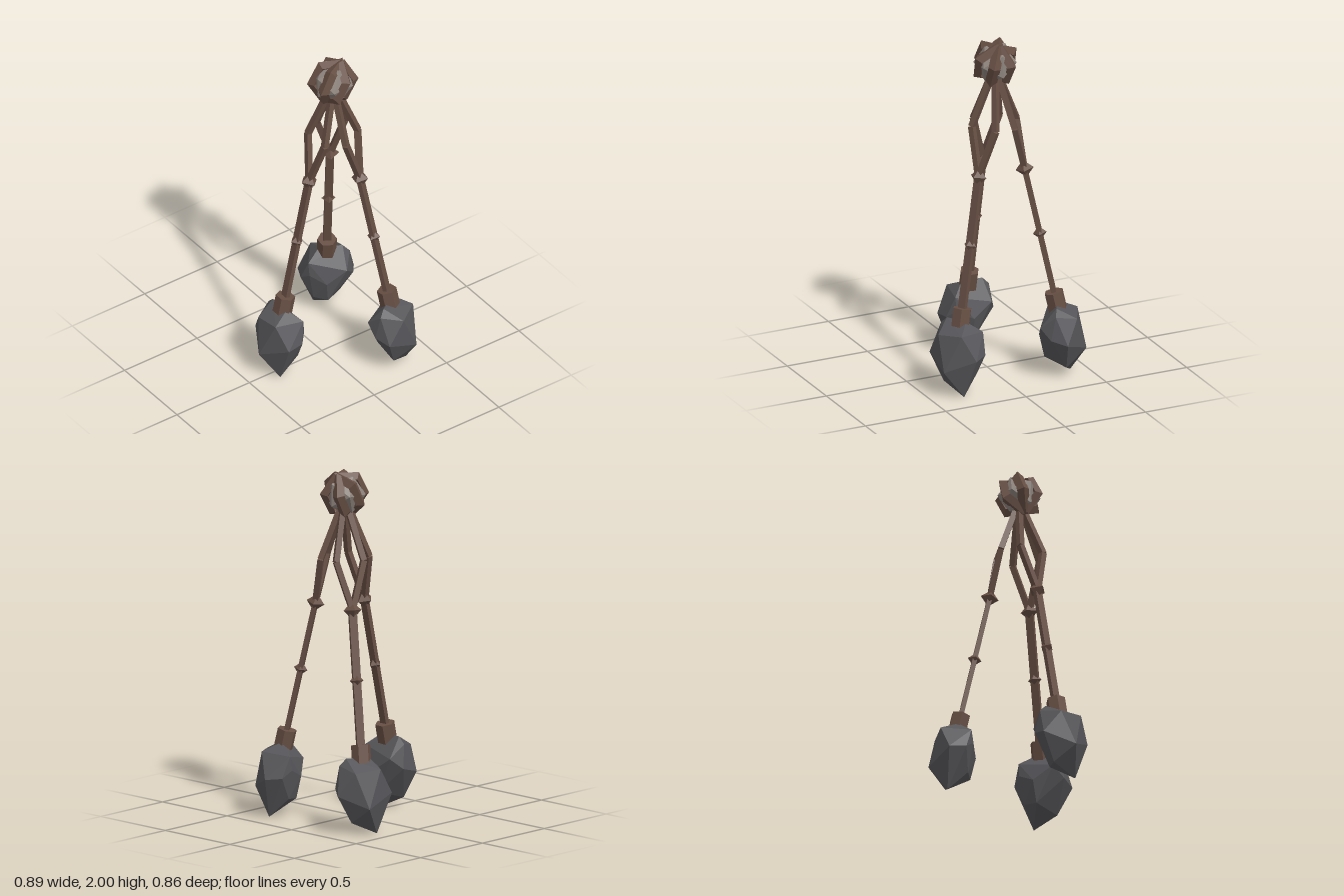
import * as THREE from 'three';
import { ConvexGeometry } from 'three/addons/geometries/ConvexGeometry.js';

const flat = (name, color) => {
  const m = new THREE.MeshStandardMaterial({ color, flatShading: true });
  m.name = name;
  return m;
};
const UP = new THREE.Vector3(0, 1, 0);
const V = (x, y, z) => new THREE.Vector3(x, y, z);

export function createModel() {
  const leather = flat('brown leather', 0x674f44);
  const darkStone = flat('dark grey stone', 0x56565a);
  const paleStone = flat('pale grey stone', 0x8c827b);
  const model = new THREE.Group();
  model.name = 'throwingWeights';

  const add = (parent, name, geometry, material, position) => {
    const mesh = new THREE.Mesh(geometry, material);
    mesh.name = name;
    if (position) mesh.position.copy(position);
    parent.add(mesh);
    return mesh;
  };

  // Straight square cord between two points
  const cord = (parent, name, a, b, width, depth) => {
    const geometry = new THREE.BoxGeometry(width, a.distanceTo(b), depth);
    const mesh = add(parent, name, geometry, leather, a.clone().lerp(b, 0.5));
    mesh.quaternion.setFromUnitVectors(UP, a.clone().sub(b).normalize());
    return mesh;
  };

  // Corners of one chipped stone, in arm space (z points outward)
  const stoneCorners = [
    [-0.09, 0.425, 0.35], [0.04, 0.425, 0.35], [0.11, 0.36, 0.285],
    [0.157, 0.23, 0.418], [0.15, 0.24, 0.32], [-0.16, 0.225, 0.42],
    [-0.147, 0.25, 0.325], [-0.13, 0.385, 0.35], [-0.07, 0.36, 0.465],
    [0.08, 0.375, 0.455], [0, 0.16, 0.512], [-0.105, 0.31, 0.26],
    [0.104, 0.28, 0.275], [0.01, 0.23, 0.245], [0.07, 0, 0.415],
    [-0.075, 0.065, 0.405], [0, 0.10, 0.275], [0.08, 0.11, 0.3],
  ].map((p) => V(...p));
  const stoneGeometry = new ConvexGeometry(stoneCorners);

  // Three identical arms spread around the hub
  const knotPoint = V(0, 1.23, 0.165);
  const smallKnotPoint = V(0, 0.845, 0.25);
  const sleevePoint = V(0, 0.43, 0.342);
  const axis = knotPoint.clone().sub(sleevePoint).normalize();
  const tilt = new THREE.Quaternion().setFromUnitVectors(UP, axis);

  for (let i = 0; i < 3; i++) {
    const arm = new THREE.Group();
    arm.name = ['frontArm', 'leftArm', 'rightArm'][i];
    arm.position.set(-0.01, 0, -0.085);
    arm.rotation.y = (i * Math.PI * 2) / 3;
    model.add(arm);

    // Pair of strands bowing apart below the hub
    for (const side of [-1, 1]) {
      const bend = V(side * 0.08, 1.5, 0.115);
      cord(arm, 'upperStrand', V(side * 0.015, 1.78, 0.02), bend, 0.032, 0.032);
      cord(arm, 'lowerStrand', bend, knotPoint, 0.032, 0.032);
    }

    // Single flat cord, knots, sleeve and weight
    cord(arm, 'mainCord', knotPoint, sleevePoint, 0.045, 0.026);
    add(arm, 'largeKnot', new THREE.OctahedronGeometry(0.052), leather, knotPoint).quaternion.copy(tilt);
    add(arm, 'smallKnot', new THREE.OctahedronGeometry(0.04), leather, smallKnotPoint).quaternion.copy(tilt);
    const sleeve = new THREE.CylinderGeometry(0.056, 0.056, 0.13, 6).rotateY(Math.PI / 6);
    add(arm, 'sleeve', sleeve, leather, sleevePoint).quaternion.copy(tilt);
    add(arm, 'stoneWeight', stoneGeometry, darkStone);
  }

  // Hub: faceted stone wrapped by three crossing hexagonal straps
  const hub = new THREE.Group();
  hub.name = 'hub';
  hub.position.set(-0.01, 1.866, -0.083);
  hub.rotation.x = -0.42;
  model.add(hub);

  const core = new THREE.IcosahedronGeometry(0.122);
  const coreTurn = new THREE.Quaternion().setFromUnitVectors(V(0, 1, (1 + Math.sqrt(5)) / 2).normalize(), V(0, 0.1, 1).normalize());
  core.applyQuaternion(coreTurn);
  add(hub, 'hubStone', core, paleStone);

  for (let i = 0; i < 3; i++) {
    const strap = new THREE.TorusGeometry(0.112, 0.034, 4, 6).rotateZ(Math.PI / 6 - 0.12);
    add(hub, 'hubStrap', strap, leather).rotation.y = (i * Math.PI) / 3;
  }
  return model;
}
